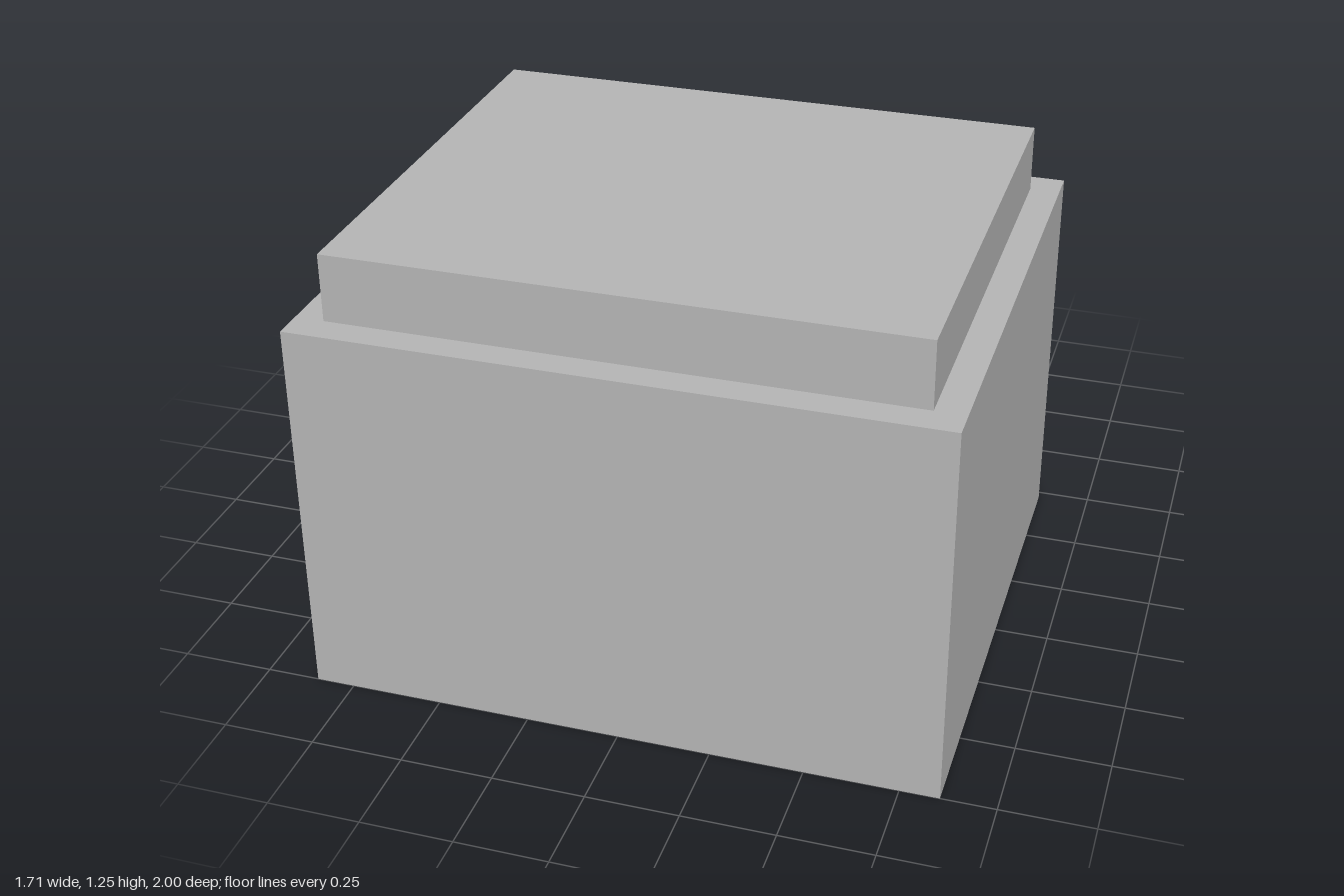
import * as THREE from 'three';

export function createModel() {
  const model = new THREE.Group();
  model.name = 'printer';

  const grey = new THREE.MeshStandardMaterial({ color: 0xb3b3b3 });
  grey.name = 'casing grey';
  const blue = new THREE.MeshStandardMaterial({ color: 0x5284b5 });
  blue.name = 'display blue';

  // Box given by its extents along x, y and z
  function box(name, material, [x0, x1], [y0, y1], [z0, z1]) {
    const mesh = new THREE.Mesh(new THREE.BoxGeometry(x1 - x0, y1 - y0, z1 - z0), material);
    mesh.position.set((x0 + x1) / 2, (y0 + y1) / 2, (z0 + z1) / 2);
    mesh.name = name;
    model.add(mesh);
    return mesh;
  }

  const wall = -0.47; // plane of the panel carrying the controls

  // Casing and lid
  box('body', grey, [-0.855, 0.855], [0, 1.062], [wall, 1]);
  box('lid', grey, [-0.777, 0.773], [1.062, 1.247], [-0.386, 0.918]);

  // Paper tray
  box('paperTray', grey, [-0.614, 0.608], [0.2, 0.297], [-1, wall]);

  // Slanted paper guide, its upper end sunk into the body
  const tilt = 0.345, length = 0.4;
  const guide = box('paperGuide', grey, [-0.574, 0.568], [0, length], [-0.0225, 0.0225]);
  guide.rotation.x = tilt;
  guide.position.y = 0.315 + Math.cos(tilt) * length / 2;
  guide.position.z = -0.527 + Math.sin(tilt) * length / 2;

  // Display and buttons
  box('display', blue, [0.284, 0.689], [0.675, 0.878], [-0.524, wall]);
  [-0.412, -0.168].forEach((x, i) =>
    box(`button${i + 1}`, grey, [x - 0.082, x + 0.082], [0.735, 0.815], [-0.524, wall]));

  return model;
}
